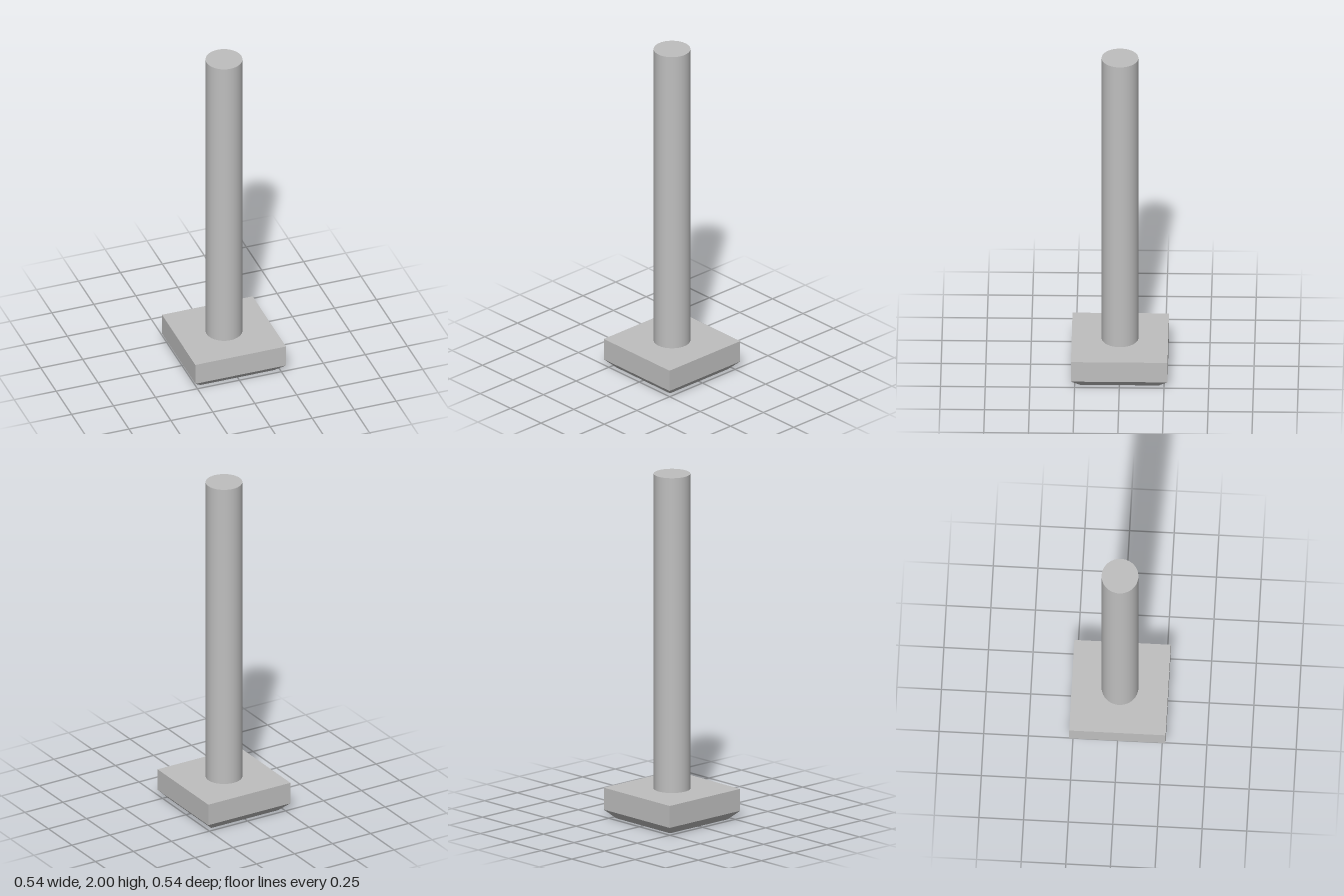
import * as THREE from 'three';

const HEAD_TOP = 0.177;
const HEAD_HALF = 0.27;   // half width of the square head
const FOOT_HALF = 0.22;   // half width below the chamfer
const CHAMFER = 0.05;
const SHANK_RADIUS = 0.103;

export function createModel() {
  const steel = new THREE.MeshStandardMaterial({ color: 0xbfbfbf });
  steel.name = 'steel grey';
  const model = new THREE.Group();
  model.name = 'squareHeadBolt';

  // Square head with chamfered underside: a four-sided lathe with flat faces
  const profile = [
    [0, 0],
    [FOOT_HALF, 0],
    [HEAD_HALF, CHAMFER],
    [HEAD_HALF, HEAD_TOP],
    [0, HEAD_TOP],
  ].map(([half, y]) => new THREE.Vector2(half * Math.SQRT2, y));
  const headGeometry = new THREE.LatheGeometry(profile, 4, Math.PI / 4).toNonIndexed();
  headGeometry.computeVertexNormals();
  const head = new THREE.Mesh(headGeometry, steel);
  head.name = 'squareHead';
  model.add(head);

  // Smooth round shank
  const length = 2 - HEAD_TOP;
  const shank = new THREE.Mesh(
    new THREE.CylinderGeometry(SHANK_RADIUS, SHANK_RADIUS, length, 64),
    steel
  );
  shank.name = 'shank';
  shank.position.y = HEAD_TOP + length / 2;
  model.add(shank);

  return model;
}
